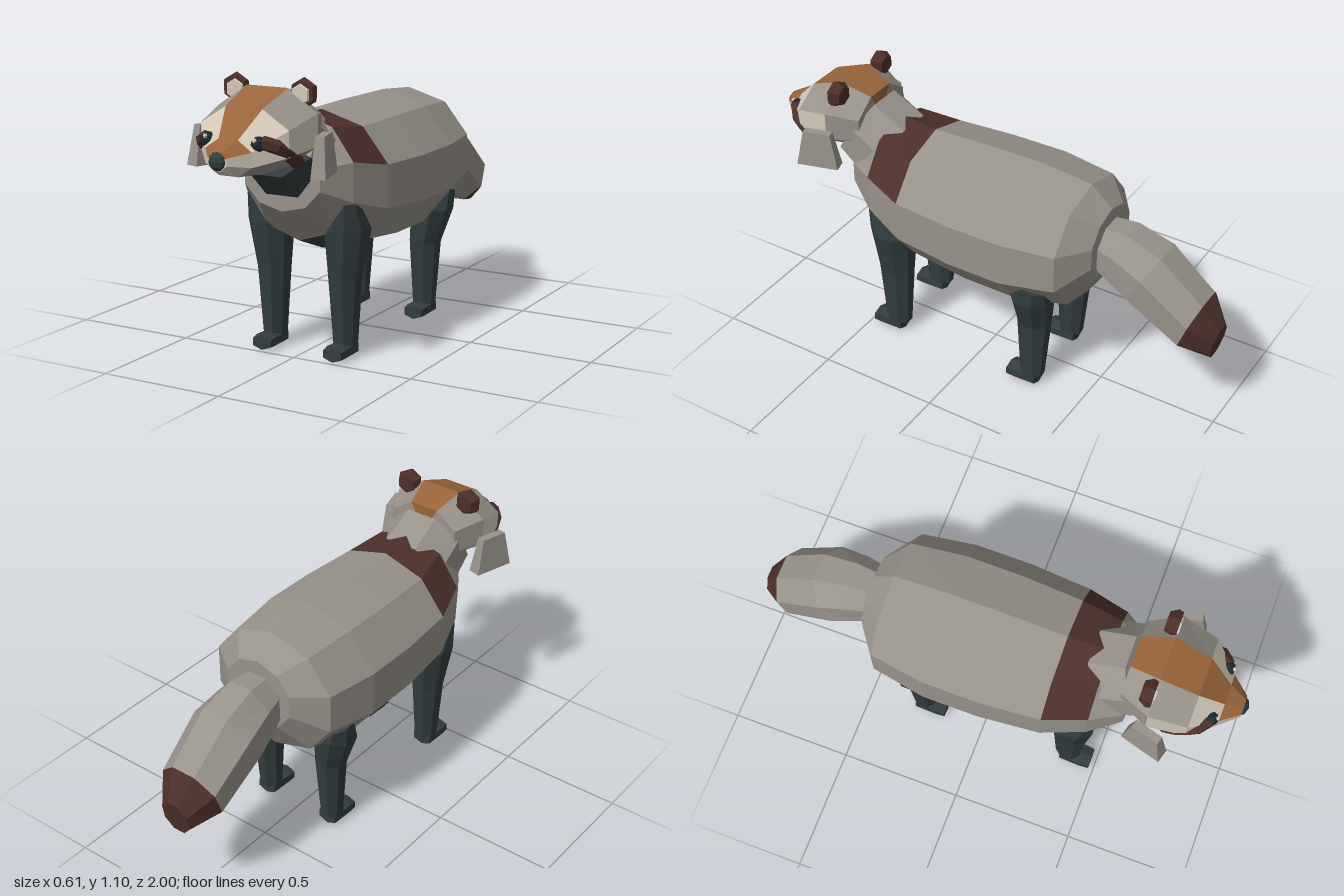
import * as THREE from 'three';

const mat = (name, color) => Object.assign(new THREE.MeshStandardMaterial({ color }), { name });
const fur = mat('grey fur', 0x97928a);
const dark = mat('charcoal', 0x323d3e);
const brown = mat('dark brown', 0x4c3029);
const rust = mat('rust', 0x99643a);
const cream = mat('cream', 0xd3cab9);
const black = mat('eye black', 0x20292d);

const rad = THREE.MathUtils.degToRad;

// Gives a geometry hard facets
function facet(geo) {
  const g = geo.index ? geo.toNonIndexed() : geo;
  g.computeVertexNormals();
  return g;
}

// Faceted loft. Rings are [x, y, z, radiusX, radiusUp, pitch]; the axis of a ring
// points to +z at pitch 0 and to -y at pitch -90. pick(segment, side) chooses the
// material index of a quad.
function loft(rings, sides, phase, pick = () => 0) {
  const pts = rings.map(([x, y, z, rx, ru, pitch = 0]) => {
    const t = rad(pitch);
    return Array.from({ length: sides }, (_, j) => {
      const a = rad(phase) + (j * 2 * Math.PI) / sides;
      const u = ru * Math.sin(a);
      return [x + rx * Math.cos(a), y + u * Math.cos(t), z - u * Math.sin(t)];
    });
  });
  const buckets = [];
  const tri = (m, ...p) => (buckets[m] ??= []).push(...p.flat());
  const last = rings.length - 1;
  for (let j = 0; j < sides; j++) {
    const k = (j + 1) % sides;
    for (let i = 0; i < last; i++) {
      const m = pick(i, j);
      tri(m, pts[i][j], pts[i][k], pts[i + 1][k]);
      tri(m, pts[i][j], pts[i + 1][k], pts[i + 1][j]);
    }
    tri(pick(0, j), rings[0].slice(0, 3), pts[0][k], pts[0][j]);
    tri(pick(last - 1, j), rings[last].slice(0, 3), pts[last][j], pts[last][k]);
  }
  const geo = new THREE.BufferGeometry();
  const all = [];
  buckets.forEach((b, m) => {
    geo.addGroup(all.length / 3, b.length / 3, m);
    for (const v of b) all.push(v);
  });
  geo.setAttribute('position', new THREE.Float32BufferAttribute(all, 3));
  geo.computeVertexNormals();
  return geo;
}

export function createModel() {
  const model = new THREE.Group();
  model.name = 'animal';
  const add = (name, geo, material, x = 0, y = 0, z = 0) => {
    const mesh = new THREE.Mesh(geo, material);
    mesh.name = name;
    mesh.position.set(x, y, z);
    model.add(mesh);
    return mesh;
  };
  const ball = (r, sx, sy, sz, w = 8, h = 6) =>
    facet(new THREE.SphereGeometry(r, w, h).scale(sx, sy, sz));

  // Body with brown shoulder band and dark belly
  add('body', loft([
    [0, 0.69, -0.51, 0.155, 0.145],
    [0, 0.66, -0.42, 0.285, 0.255],
    [0, 0.645, -0.2, 0.32, 0.29],
    [0, 0.643, 0.03, 0.32, 0.288],
    [0, 0.65, 0.28, 0.3, 0.27],
    [0, 0.69, 0.45, 0.245, 0.245],
    [0, 0.71, 0.57, 0.17, 0.13],
  ], 10, 18, (i, j) => {
    if (i === 4 && j < 4) return 2;
    return i > 0 && i < 5 && (j === 6 || j === 7) ? 1 : 0;
  }), [fur, dark, brown]);

  // Neck, dark along the throat
  add('neck', loft([
    [0, 0.77, 0.47, 0.18, 0.18, 31],
    [0, 0.86, 0.6, 0.175, 0.16, 31],
  ], 8, 22.5, (i, j) => (j >= 4 && j <= 6 ? 1 : 0)), [fur, dark]);

  // Head with rust blaze and cream face patches
  add('head', loft([
    [0, 0.905, 0.54, 0.165, 0.12],
    [0, 0.915, 0.66, 0.227, 0.152],
    [0, 0.885, 0.81, 0.2, 0.124],
    [0, 0.838, 0.91, 0.105, 0.07],
    [0, 0.836, 0.98, 0.042, 0.035],
  ], 8, 22.5, (i, j) => {
    if (j === 1) return 1;
    const slant = j === 0 || j === 2, side = j === 3 || j === 7;
    if (i === 3) return slant ? 1 : 2;
    if (i === 2) return slant || side ? 2 : 0;
    return i === 1 && side ? 2 : 0;
  }), [fur, rust, cream]);
  add('nose', ball(0.04, 1, 0.9, 0.75), dark, 0, 0.836, 0.97);

  // Tail with brown tip
  add('tail', loft([
    [0, 0.405, -0.985, 0.065, 0.075, 10],
    [0, 0.47, -0.89, 0.137, 0.127, 20],
    [0, 0.61, -0.685, 0.15, 0.148, 28],
    [0, 0.648, -0.58, 0.13, 0.142, 10],
    [0, 0.67, -0.48, 0.105, 0.11, 0],
  ], 8, 22.5, (i) => (i === 0 ? 1 : 0)), [fur, brown]);

  for (const s of [1, -1]) {
    const side = s > 0 ? 'left' : 'right';

    // Ears
    const ear = new THREE.CylinderGeometry(0.038, 0.056, 0.03, 6).rotateX(-Math.PI / 2);
    add(side + 'Ear', facet(ear), brown, s * 0.143, 1.04, 0.625);
    add(side + 'EarRim', facet(new THREE.CylinderGeometry(0.056, 0.05, 0.02, 6).rotateX(-Math.PI / 2)),
      brown, s * 0.143, 1.04, 0.648);
    add(side + 'InnerEar', facet(new THREE.CylinderGeometry(0.036, 0.04, 0.008, 6).rotateX(Math.PI / 2)),
      cream, s * 0.138, 1.035, 0.661);

    // Eyes
    add(side + 'Eye', ball(0.028, 1, 1, 1), black, s * 0.105, 0.89, 0.88);
    add(side + 'EyeGlint', ball(0.009, 1, 1, 1, 6, 4), cream, s * 0.102, 0.905, 0.902);

    // Curved brown eye patch, pinched closed at both ends
    const curve = new THREE.CatmullRomCurve3([
      [0.08, 0.9, 0.89], [0.145, 0.885, 0.855], [0.17, 0.835, 0.77], [0.16, 0.785, 0.69],
    ].map(([x, y, z]) => new THREE.Vector3(s * x, y, z)));
    const steps = 6, radial = 6;
    const patch = new THREE.TubeGeometry(curve, steps, 0.027, radial);
    const p = patch.attributes.position;
    for (let j = 0; j <= radial; j++) {
      const a = curve.getPointAt(0), b = curve.getPointAt(1);
      p.setXYZ(j, a.x, a.y, a.z);
      p.setXYZ(steps * (radial + 1) + j, b.x, b.y, b.z);
    }
    add(side + 'EyePatch', facet(patch), brown);

    // Cheek tufts: tapered blocks flaring forward
    const tuft = new THREE.BoxGeometry(0.055, 0.148, 0.17);
    const q = tuft.attributes.position;
    for (let i = 0; i < q.count; i++) {
      if (q.getY(i) > 0) q.setXYZ(i, q.getX(i) * 0.6, q.getY(i), q.getZ(i) * 0.66);
    }
    add(side + 'CheekTuft', facet(tuft), fur, s * 0.243, 0.832, 0.675).rotation.y = s * rad(16);

    // Legs and paws
    const x = s * 0.157;
    add(side + 'FrontLeg', loft([
      [s * 0.185, 0.6, 0.42, 0.055, 0.06, -75],
      [s * 0.168, 0.5, 0.38, 0.088, 0.098, -90],
      [x, 0.31, 0.38, 0.063, 0.075, -90],
      [x, 0.045, 0.378, 0.045, 0.055, -90],
    ], 8, 22.5), dark);
    add(side + 'BackLeg', loft([
      [s * 0.215, 0.53, -0.3, 0.055, 0.065, -75],
      [s * 0.185, 0.45, -0.28, 0.085, 0.088, -90],
      [x, 0.31, -0.275, 0.063, 0.07, -90],
      [x, 0.045, -0.27, 0.045, 0.05, -90],
    ], 8, 22.5), dark);
    for (const [name, z] of [['FrontPaw', 0.415], ['BackPaw', -0.235]]) {
      add(side + name, loft([
        [x, 0.032, z - 0.065, 0.046, 0.032],
        [x, 0.032, z + 0.03, 0.05, 0.032],
        [x, 0.028, z + 0.065, 0.046, 0.028],
      ], 6, 30), dark);
    }
  }
  return model;
}
